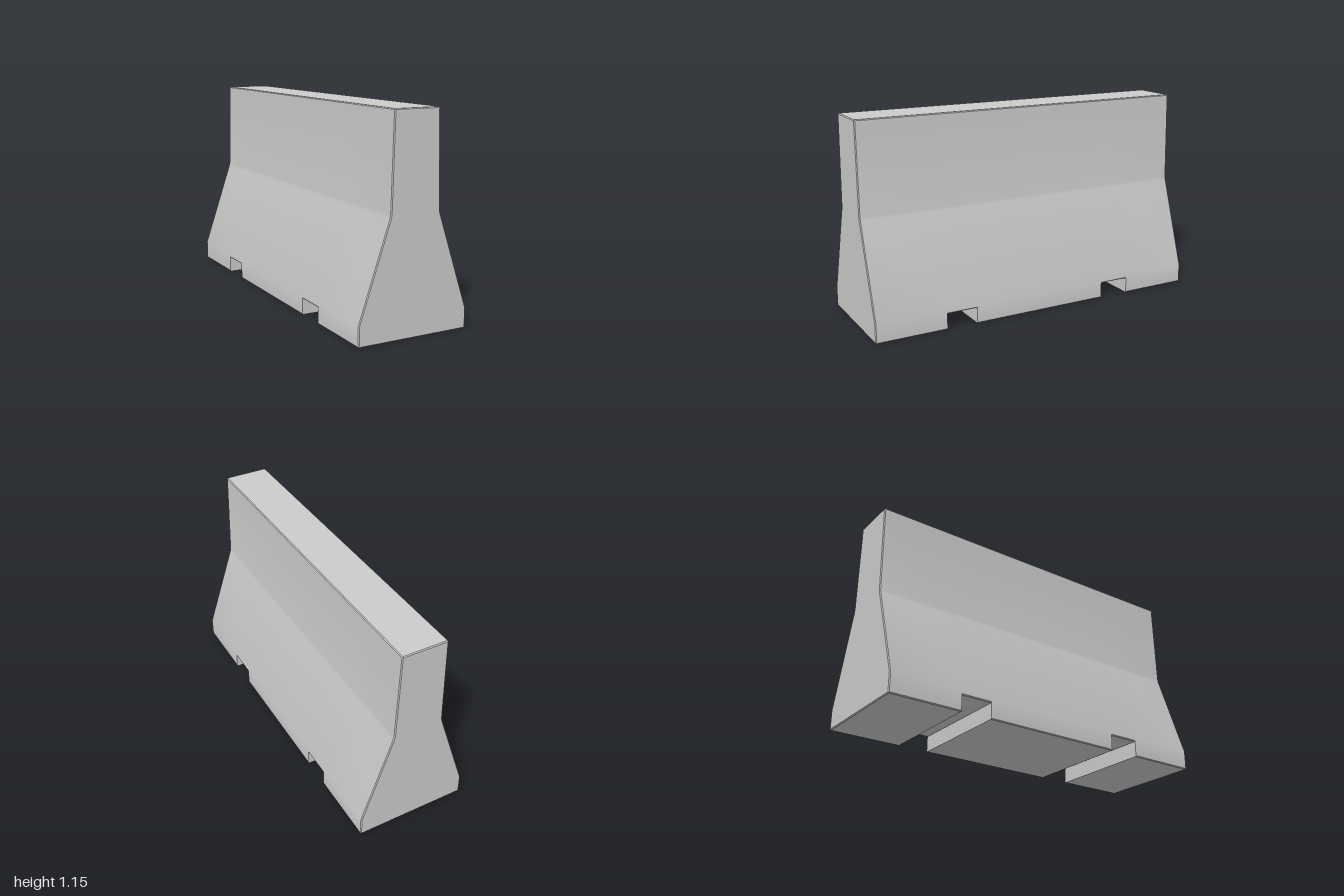
import * as THREE from 'three';
import { toCreasedNormals } from 'three/addons/utils/BufferGeometryUtils.js';

const HEIGHT = 1.15;
const BEVEL = 0.005;
const NOTCH = 0.09;

// Closed cross-section at z: right side upwards, then the mirrored left side downwards.
function section(z, floor, inset) {
  const right = [
    [0.32 - BEVEL, floor],
    [0.32, floor + BEVEL],
    [0.32, 0.11],
    [0.148, 0.62],
    [0.144, 0.64],
    [0.131, HEIGHT - BEVEL],
    [0.126, HEIGHT],
  ].map(([x, y]) => [
    x - inset,
    THREE.MathUtils.clamp(y, floor + inset, HEIGHT - inset),
  ]);
  const left = right.map(([x, y]) => [-x, y]).reverse();
  return [...right, ...left].map(([x, y]) => new THREE.Vector3(x, y, z));
}

// Triangles of a quad, leaving out those that have no area.
function addQuad(out, a, b, c, d) {
  for (const tri of [[a, b, c], [a, c, d]]) {
    if (new THREE.Triangle(...tri).getArea() < 1e-8) continue;
    tri.forEach((p) => out.push(p.x, p.y, p.z));
  }
}

function barrierGeometry() {
  // Stations along the length: [z, underside height, edge inset].
  // Doubled stations make the upright walls of the two notches.
  const rings = [
    [-1, 0, BEVEL], [-1 + BEVEL, 0, 0],
    [-0.59, 0, 0], [-0.59, NOTCH, 0], [-0.41, NOTCH, 0], [-0.41, 0, 0],
    [0.41, 0, 0], [0.41, NOTCH, 0], [0.59, NOTCH, 0], [0.59, 0, 0],
    [1 - BEVEL, 0, 0], [1, 0, BEVEL],
  ].map((s) => section(...s));

  const out = [];
  const n = rings[0].length;

  // Skin between neighbouring stations
  for (let i = 0; i < rings.length - 1; i++) {
    const p = rings[i];
    const q = rings[i + 1];
    for (let j = 0; j < n; j++) {
      const k = (j + 1) % n;
      addQuad(out, p[j], p[k], q[k], q[j]);
    }
  }

  // End faces, as horizontal strips between left and right
  const back = rings[0];
  const front = rings[rings.length - 1];
  for (let j = 0; j < n / 2 - 1; j++) {
    const l = n - 1 - j;
    addQuad(out, front[j], front[j + 1], front[l - 1], front[l]);
    addQuad(out, back[l], back[l - 1], back[j + 1], back[j]);
  }

  const geometry = new THREE.BufferGeometry();
  geometry.setAttribute('position', new THREE.Float32BufferAttribute(out, 3));
  return toCreasedNormals(geometry, 0.4);
}

export function createModel() {
  const group = new THREE.Group();
  group.name = 'roadBarrier';
  const body = new THREE.Mesh(
    barrierGeometry(),
    new THREE.MeshStandardMaterial({ color: 0xcccccc })
  );
  body.name = 'concreteBody';
  group.add(body);
  return group;
}
